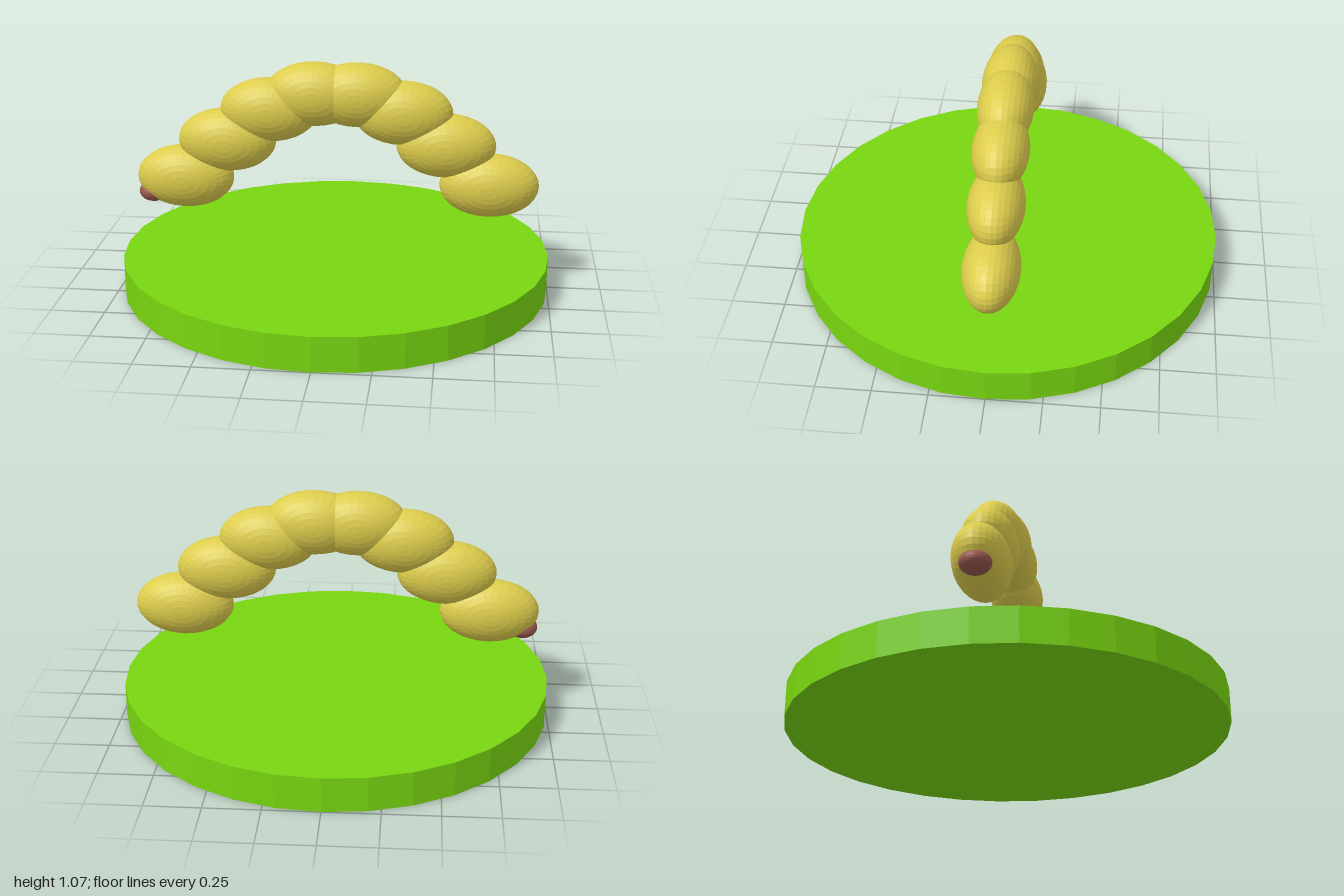
import * as THREE from 'three';

const flat = (name, color) => {
  const m = new THREE.MeshStandardMaterial({ color, flatShading: true });
  m.name = name;
  return m;
};

export function createModel() {
  const group = new THREE.Group();
  group.name = 'archedCaterpillar';
  const green = flat('leafGreen', 0x78d610);
  const yellow = flat('bodyYellow', 0xdccc4c);
  const brown = flat('mouthBrown', 0x96584e);

  const add = (name, geometry, material, x, y) => {
    const mesh = new THREE.Mesh(geometry, material);
    mesh.name = name;
    mesh.position.set(x, y, 0);
    group.add(mesh);
  };

  // round base
  add('base', new THREE.CylinderGeometry(1, 1, 0.16, 32), green, 0, 0.08);

  // ellipsoid with its poles on the z axis
  const ellipsoid = (rx, ry, rz) =>
    new THREE.SphereGeometry(1, 32, 16).rotateX(Math.PI / 2).scale(rx, ry, rz);

  // arched body, mirrored left and right
  const segment = ellipsoid(0.23, 0.15, 0.127);
  const centres = [[0.1, 0.915], [0.31, 0.835], [0.51, 0.685], [0.713, 0.5]];
  centres.forEach(([x, y], i) => {
    add(`bodySegmentLeft${i + 1}`, segment, yellow, x, y);
    add(`bodySegmentRight${i + 1}`, segment, yellow, -x, y);
  });

  // mouth at the low end of the right side
  add('mouth', ellipsoid(0.07, 0.05, 0.07), brown, -0.87, 0.42);

  return group;
}
